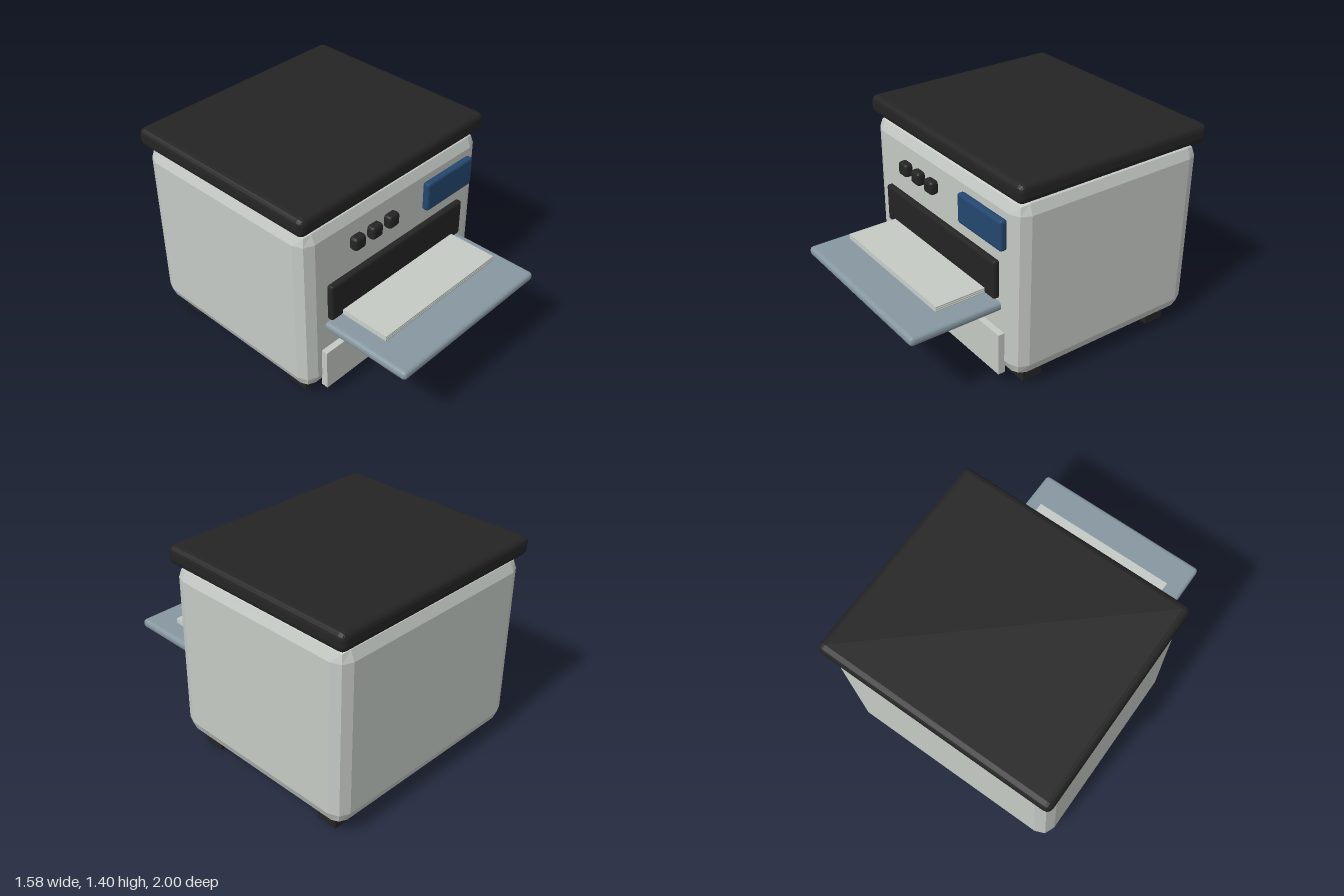
import * as THREE from 'three';
import { RoundedBoxGeometry } from 'three/addons/geometries/RoundedBoxGeometry.js';

const paint = (name, color) => {
  const m = new THREE.MeshStandardMaterial({ color });
  m.name = name;
  return m;
};

export function createModel() {
  const group = new THREE.Group();
  const shell = paint('shell grey', 0xc5cac5);
  const black = paint('soft black', 0x242424);
  const blue = paint('display blue', 0x24476f);
  const slate = paint('tray slate', 0x8797a0);

  // Box between limits; a radius bevels its edges with flat facets
  const box = (name, mat, [x0, x1], [y0, y1], [z0, z1], radius = 0, segments = 1) => {
    const size = [x1 - x0, y1 - y0, z1 - z0];
    const geo = radius
      ? new RoundedBoxGeometry(...size, segments, radius)
      : new THREE.BoxGeometry(...size);
    if (radius) geo.computeVertexNormals();
    const mesh = new THREE.Mesh(geo, mat);
    mesh.name = name;
    mesh.position.set((x0 + x1) / 2, (y0 + y1) / 2, (z0 + z1) / 2);
    group.add(mesh);
  };

  // Housing and lid
  box('body', shell, [-0.77, 0.77], [0.092, 1.278], [-0.98, 0.39], 0.09);
  box('lid', black, [-0.79, 0.79], [1.278, 1.4], [-1, 0.4], 0.04, 2);

  // Feet
  for (const x of [-0.613, 0.613])
    for (const z of [-0.8, 0.21])
      box('foot', black, [x - 0.072, x + 0.072], [0, 0.11], [z - 0.07, z + 0.07]);

  // Control panel
  for (const x of [-0.362, -0.218, -0.074])
    box('button', black, [x - 0.046, x + 0.046], [1.004, 1.094], [0.38, 0.443], 0.022, 2);
  box('display', blue, [0.234, 0.661], [0.95, 1.144], [0.385, 0.433], 0.014);

  // Output slot, tray and paper sheets
  box('outputSlot', black, [-0.592, 0.59], [0.596, 0.849], [0.38, 0.428], 0.015);
  box('outputTray', slate, [-0.611, 0.609], [0.515, 0.575], [0.3, 1], 0.025, 2);
  for (let i = 0; i < 3; i++) {
    const y = 0.6 + i * 0.0125;
    box('paperSheet', shell, [-0.503, 0.501], [y, y + 0.009], [0.36, 0.765]);
  }

  // Paper drawer
  box('drawer', shell, [-0.646, 0.643], [0.096, 0.379], [0.385, 0.432]);
  box('drawerHandle', black, [-0.215, 0.213], [0.256, 0.294], [0.43, 0.493]);

  return group;
}
